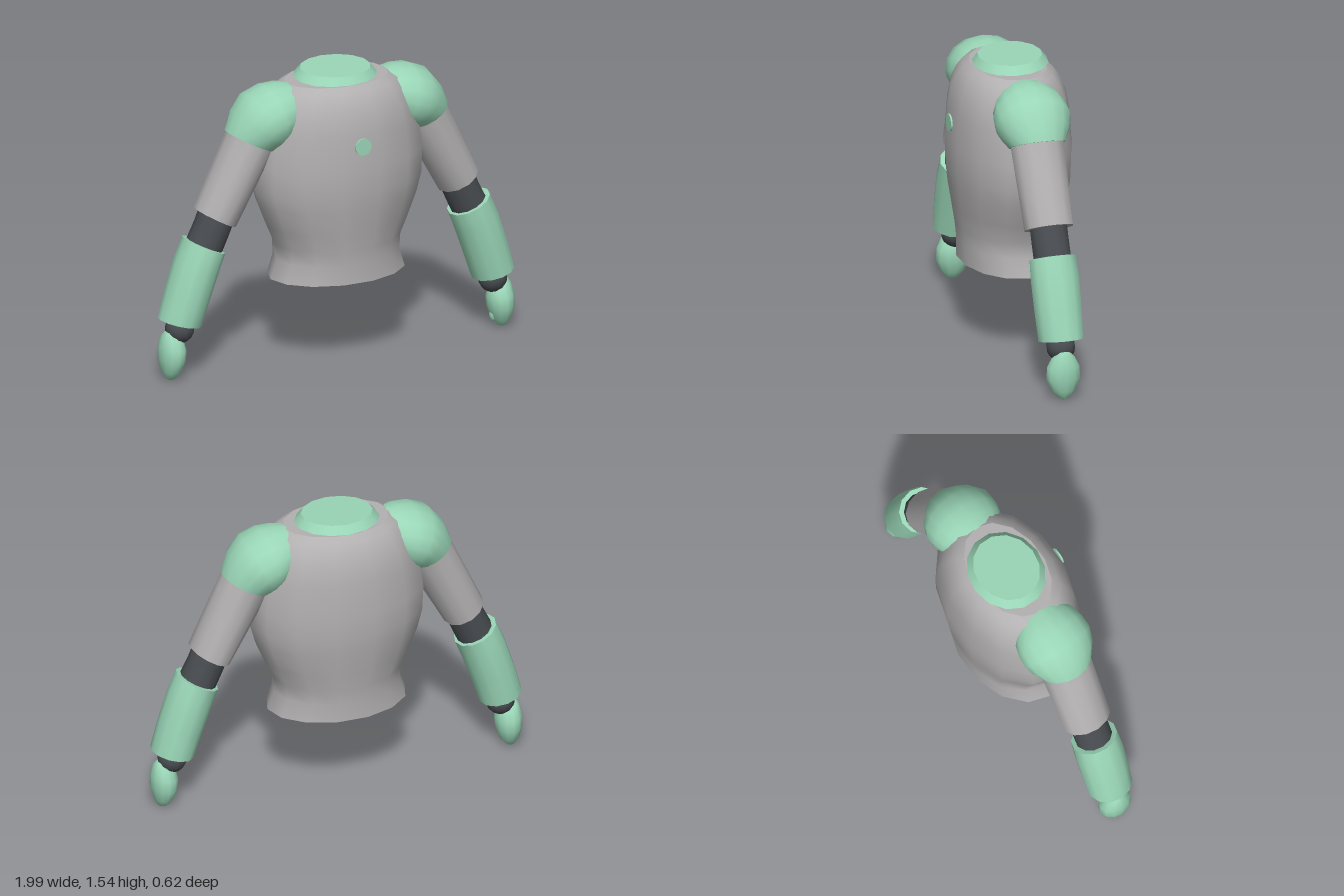
import * as THREE from 'three';

const mat = (name, color) => {
  const m = new THREE.MeshStandardMaterial({ color });
  m.name = name;
  return m;
};

// Loft through elliptical rings, listed top to bottom.
// Ring: [outerX, outerY, innerX, innerY, halfDepth]; side -1 mirrors in x.
function loft(rings, sides, side = 1) {
  const pos = [], idx = [];
  const tri = (a, b, c) => (side > 0 ? idx.push(a, b, c) : idx.push(a, c, b));
  const point = ([ox, oy, ix, iy, rz], j) => {
    const a = ((j % sides) / sides) * Math.PI * 2, k = Math.cos(a) / 2;
    pos.push(side * ((ox + ix) / 2 + (ox - ix) * k), (oy + iy) / 2 + (oy - iy) * k, Math.sin(a) * rz);
  };
  rings.forEach((r, i) => {
    for (let j = 0; j < sides; j++) {
      point(r, j);
      if (i === rings.length - 1) continue;
      const a = i * sides + j, b = i * sides + ((j + 1) % sides);
      tri(a, b, a + sides);
      tri(b, b + sides, a + sides);
    }
  });
  // End caps with their own vertices keep the rims sharp
  [[rings[0], true], [rings[rings.length - 1], false]].forEach(([r, top]) => {
    const base = pos.length / 3;
    for (let j = 0; j < sides; j++) point(r, j);
    for (let j = 1; j < sides - 1; j++) {
      if (top) tri(base, base + j + 1, base + j);
      else tri(base, base + j, base + j + 1);
    }
  });
  const g = new THREE.BufferGeometry();
  g.setAttribute('position', new THREE.Float32BufferAttribute(pos, 3));
  g.setIndex(idx);
  g.computeVertexNormals();
  return g;
}

export function createModel() {
  const model = new THREE.Group();
  model.name = 'armouredTorso';
  const grey = mat('grey shell', 0xb2b0b0);
  const green = mat('mint green', 0x9ad6b7);
  const dark = mat('dark joint', 0x484c50);

  const add = (parent, name, geometry, material) => {
    const m = new THREE.Mesh(geometry, material);
    m.name = name;
    parent.add(m);
    return m;
  };

  // Torso: [y, half width, half depth]
  const torso = [
    [1.49, 0.28, 0.19], [1.465, 0.33, 0.225], [1.42, 0.375, 0.255], [1.35, 0.415, 0.285],
    [1.25, 0.445, 0.3], [1.08, 0.468, 0.312], [0.95, 0.462, 0.308], [0.85, 0.435, 0.298],
    [0.73, 0.385, 0.28], [0.63, 0.34, 0.266], [0.55, 0.336, 0.258], [0.45, 0.37, 0.258],
  ].map(([y, w, d]) => [w, y, -w, y, d]);
  add(model, 'torso', loft(torso, 14), grey);

  // Neck ring, tilted slightly forward
  const neck = add(model, 'neckRing', new THREE.CylinderGeometry(0.185, 0.22, 0.042, 14), green);
  neck.scale.z = 0.88;
  neck.position.set(0, 1.515, -0.01);
  neck.rotation.x = 0.035;

  // Chest button
  const button = add(model, 'chestButton', new THREE.CylinderGeometry(0.045, 0.045, 0.009, 16), green);
  button.rotation.x = Math.PI / 2;
  button.position.set(0, 1.2, 0.312);

  for (const side of [1, -1]) {
    const arm = new THREE.Group();
    arm.name = side > 0 ? 'leftArm' : 'rightArm';
    model.add(arm);
    const part = (name, rings, material, sides = 12) => add(arm, name, loft(rings, sides, side), material);

    part('shoulderCap', [
      [0.27, 1.492, 0.27, 1.22, 0.15],
      [0.33, 1.5, 0.31, 1.2, 0.18],
      [0.41, 1.495, 0.33, 1.18, 0.195],
      [0.5, 1.46, 0.35, 1.17, 0.198],
      [0.57, 1.375, 0.36, 1.165, 0.18],
      [0.612, 1.275, 0.37, 1.155, 0.146],
    ], green, 16);

    part('upperArm', [
      [0.59, 1.31, 0.36, 1.195, 0.14],
      [0.607, 1.272, 0.375, 1.156, 0.14],
      [0.785, 0.885, 0.585, 0.78, 0.13],
    ], grey);

    part('elbow', [
      [0.75, 0.92, 0.58, 0.83, 0.098],
      [0.79, 0.82, 0.62, 0.735, 0.098],
      [0.86, 0.68, 0.68, 0.6, 0.098],
    ], dark);

    part('forearm', [
      [0.855, 0.745, 0.643, 0.645, 0.122],
      [0.9, 0.64, 0.68, 0.55, 0.128],
      [0.952, 0.48, 0.73, 0.41, 0.125],
      [0.994, 0.328, 0.775, 0.275, 0.118],
    ], green);

    const wrist = add(arm, 'wrist', new THREE.SphereGeometry(0.075, 12, 10), dark);
    wrist.position.set(side * 0.885, 0.265, 0);

    part('hand', [
      [0.965, 0.262, 0.885, 0.222, 0.035],
      [0.982, 0.24, 0.868, 0.2, 0.06],
      [0.997, 0.18, 0.857, 0.16, 0.086],
      [0.997, 0.115, 0.862, 0.105, 0.09],
      [0.982, 0.05, 0.882, 0.045, 0.063],
      [0.963, 0.01, 0.912, 0.008, 0.03],
      [0.945, 0, 0.93, 0, 0.01],
    ], green);
  }

  // Small thumb bump on the left hand
  const thumb = add(model.getObjectByName('leftArm'), 'thumb', new THREE.SphereGeometry(0.025, 8, 6), green);
  thumb.scale.set(0.8, 1.4, 1);
  thumb.position.set(0.888, 0.065, 0);

  return model;
}
